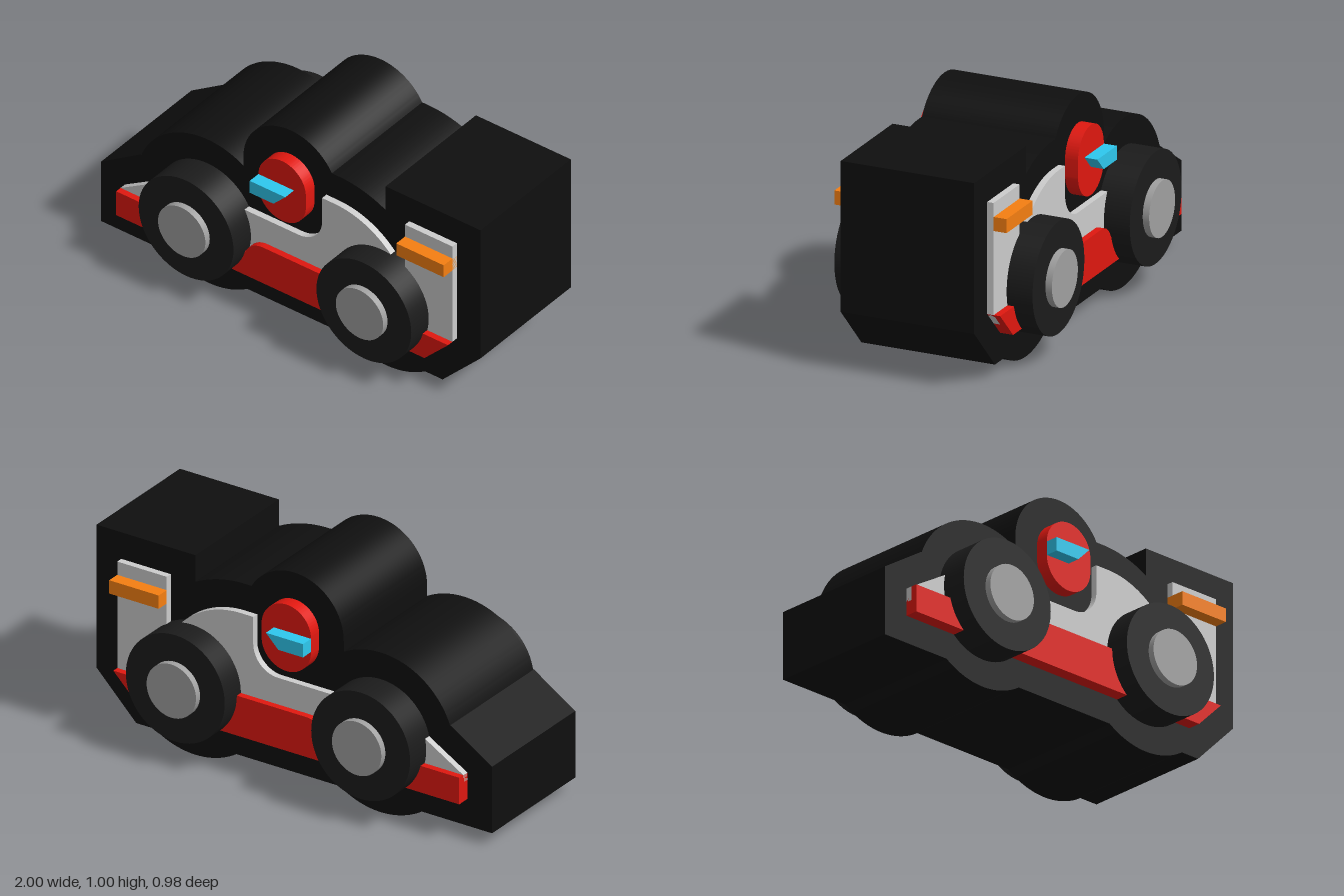
import * as THREE from 'three';
import { toCreasedNormals } from 'three/addons/utils/BufferGeometryUtils.js';

const BLACK = 0x0f0f0f, TYRE = 0x1b1b1b, GREY = 0xcccccc, HUB = 0xa0a0a0;
const RED = 0xe01810, CYAN = 0x2ec8ee, ORANGE = 0xf57f12;
const WHEEL_X = [-0.4375, 0.5], WHEEL_Y = 0.375;

// Traces a closed outline: [x, y] is a corner, [cx, cy, r, from, to] a clockwise arc,
// and a sixth value makes the arc run counter-clockwise.
function outline(steps) {
  const shape = new THREE.Shape();
  steps.forEach((s, i) => {
    if (s.length > 2) shape.absarc(s[0], s[1], s[2], s[3], s[4], !s[5]);
    else if (i === 0) shape.moveTo(s[0], s[1]);
    else shape.lineTo(s[0], s[1]);
  });
  return shape;
}

// Extrudes a side-view outline symmetrically from -halfDepth to +halfDepth.
function slab(name, shape, halfDepth, color) {
  const geo = new THREE.ExtrudeGeometry(shape, {
    depth: 2 * halfDepth, bevelEnabled: false, curveSegments: 32,
  });
  geo.translate(0, 0, -halfDepth);
  const mesh = new THREE.Mesh(toCreasedNormals(geo, 0.4), new THREE.MeshStandardMaterial({ color }));
  mesh.name = name;
  return mesh;
}

// Cylinder across the car, mounted on one side.
function disc(name, x, side, radius, z0, z1, color) {
  const geo = new THREE.CylinderGeometry(radius, radius, z1 - z0, 64);
  geo.rotateX(Math.PI / 2);
  const mesh = new THREE.Mesh(geo, new THREE.MeshStandardMaterial({ color }));
  mesh.position.set(x, WHEEL_Y, side * (z0 + z1) / 2);
  mesh.name = name;
  return mesh;
}

export function createModel() {
  const model = new THREE.Group();
  model.name = 'racingCar';
  const PI = Math.PI;
  const dip = Math.asin(0.3125 / 0.375);

  // Thick dark core with wheel humps, head bump and rear block
  const core = outline([
    [-1, 0.0625], [-1, 0.375], [-0.79, 0.51],
    [WHEEL_X[0], WHEEL_Y, 0.375, 2.79, PI / 3],
    [-0.25, 0.75],
    [0, 0.75, 0.25, PI, PI / 6],
    [0.25, 0.34, 0.535, PI / 2, Math.acos(0.25 / 0.535)],
    [0.5, 0.9375], [1, 0.9375], [1, 0.265], [0.8, 0.0625],
    [WHEEL_X[1], WHEEL_Y, 0.375, -dip, dip - PI],
    [WHEEL_X[0], WHEEL_Y, 0.375, -dip, dip - PI],
  ]);
  model.add(slab('core', core, 0.31, BLACK));

  // Grey bodywork with the cockpit cut-out and rear wing post
  const body = outline([
    [-0.875, 0.25], [-0.875, 0.3125], [-0.56, 0.5], [0.0625, 0.5],
    [0.0625, 0.625, 0.125, -PI / 2, 0, true],
    [0.1875, 0.75],
    [0.25, 0.34, 0.41, PI / 2, Math.acos(0.3 / 0.41)],
    [0.55, 0.5], [0.625, 0.5], [0.625, 0.8125], [0.875, 0.8125], [0.875, 0.3125], [0.8125, 0.25],
  ]);
  model.add(slab('bodywork', body, 0.34, GREY));

  // Red lower skirt with a raised side pod
  const skirt = outline([
    [-0.875, 0.1875], [-0.875, 0.3125], [-0.2, 0.3125],
    [-0.1, 0.275, 0.1, PI * 0.88, PI / 2],
    [0.4, 0.375], [0.5, 0.3125], [0.875, 0.3125], [0.75, 0.1875],
  ]);
  model.add(slab('skirt', skirt, 0.37, RED));

  // Driver's helmet and visor
  const helmet = outline([
    [-0.125, 0.6875], [0, 0.75, 0.125, PI, 0], [0, 0.6875, 0.125, 0, -PI],
  ]);
  model.add(slab('helmet', helmet, 0.37, RED));
  const visor = outline([[-0.125, 0.6875], [-0.125, 0.75], [0.0625, 0.75], [0, 0.6875]]);
  model.add(slab('visor', visor, 0.43, CYAN));

  // Rear wing stripe
  const stripe = outline([[0.625, 0.6875], [0.625, 0.75], [0.875, 0.75], [0.875, 0.6875]]);
  model.add(slab('wingStripe', stripe, 0.4, ORANGE));

  // Wheels on both sides
  for (const side of [1, -1]) {
    for (const x of WHEEL_X) {
      const wheel = new THREE.Group();
      wheel.name = 'wheel';
      wheel.add(
        disc('tyre', x, side, 0.25, 0.3, 0.46, TYRE),
        disc('hub', x, side, 0.125, 0.44, 0.49, HUB),
      );
      model.add(wheel);
    }
  }
  return model;
}
